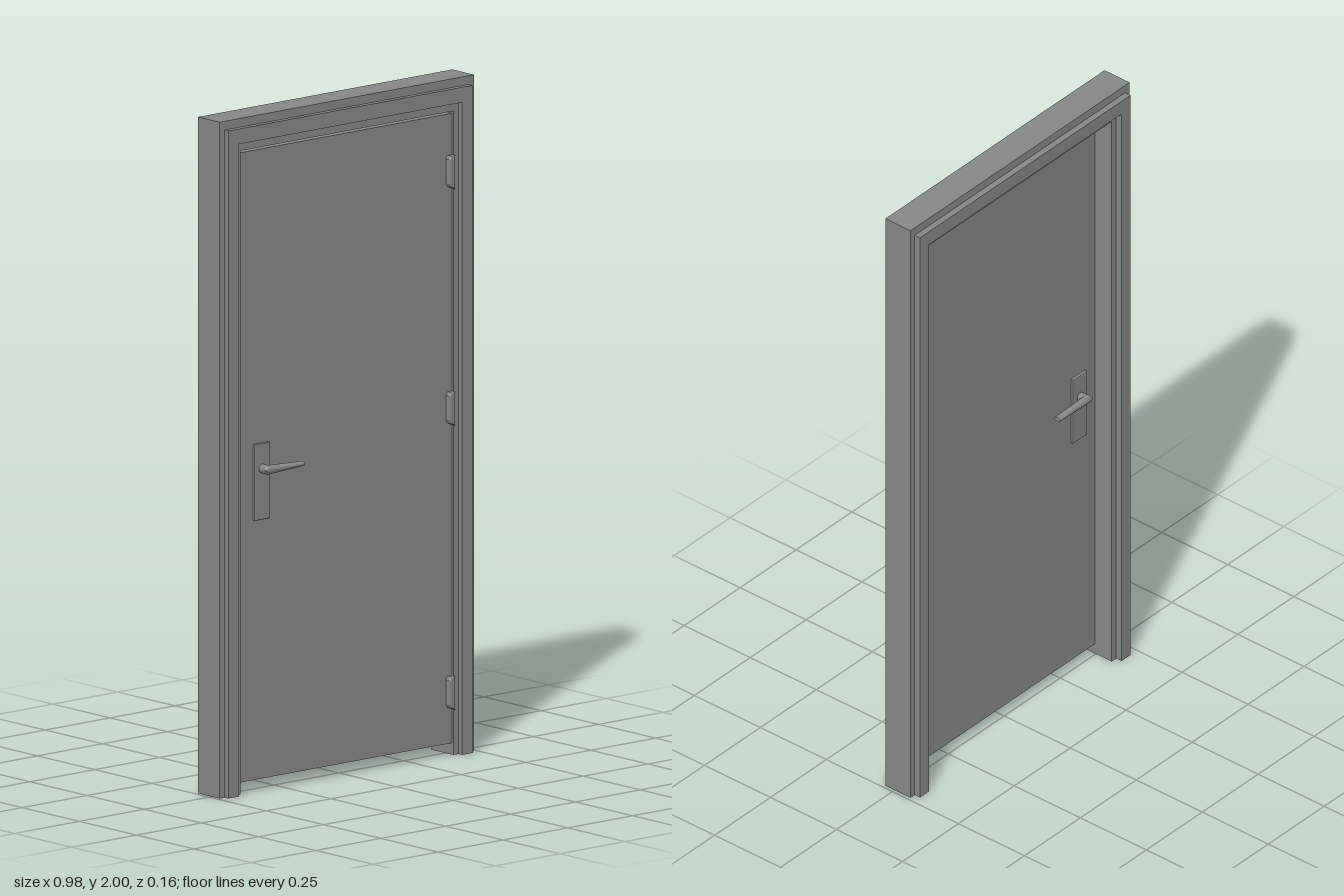
import * as THREE from 'three';

const material = new THREE.MeshStandardMaterial({ color: 0x888888 });
const frameMaterial = new THREE.MeshStandardMaterial({ color: 0x888888, side: THREE.DoubleSide });

// Outline extruded from z0 to z1, with an optional small bevel kept inside those limits
function slab(name, points, z0, z1, bevel = 0) {
  const shape = new THREE.Shape(points.map(([x, y]) => new THREE.Vector2(x, y)));
  const geometry = new THREE.ExtrudeGeometry(shape, {
    depth: z1 - z0 - 2 * bevel,
    bevelEnabled: bevel > 0,
    bevelSize: bevel,
    bevelThickness: bevel,
    bevelOffset: -bevel,
    bevelSegments: 3,
  });
  geometry.translate(0, 0, z0 + bevel);
  const mesh = new THREE.Mesh(geometry, material);
  mesh.name = name;
  return mesh;
}

const rectangle = (x0, x1, y0, y1) => [[x0, y0], [x1, y0], [x1, y1], [x0, y1]];

// Hollow frame: a stepped profile swept up one jamb, across the head and down the other
function frame() {
  const steps = [[0, 0], [0.019, 0.026], [0.06, 0.071], [0.08, 0.096]]; // side and head insets
  const profile = [
    [0, -0.06], [0, 0.035], [1, 0.035], [1, 0.051], [2, 0.051], [2, 0.035],
    [3, 0.035], [3, -0.06], [2, -0.06], [2, -0.08], [1, -0.08], [1, -0.06],
  ];
  const rings = profile.map(([step, z]) => {
    const x = 0.49 - steps[step][0];
    const y = 2 - steps[step][1];
    return [[-x, 0, z], [-x, y, z], [x, y, z], [x, 0, z]];
  });
  const positions = [];
  rings.forEach((a, i) => {
    const b = rings[(i + 1) % rings.length];
    for (let k = 0; k < 3; k++) {
      positions.push(...a[k], ...b[k], ...b[k + 1], ...a[k], ...b[k + 1], ...a[k + 1]);
    }
  });
  const geometry = new THREE.BufferGeometry();
  geometry.setAttribute('position', new THREE.Float32BufferAttribute(positions, 3));
  geometry.computeVertexNormals();
  const mesh = new THREE.Mesh(geometry, frameMaterial);
  mesh.name = 'frame';
  return mesh;
}

// Lever: an oval bar, round-ended at the spindle and tapering to the tip
function lever() {
  const geometry = new THREE.CylinderGeometry(1, 1, 1, 24, 20);
  const p = geometry.attributes.position;
  for (let i = 0; i < p.count; i++) {
    const t = (p.getY(i) + 0.5) ** 2;
    const taper = THREE.MathUtils.lerp(0.0145, 0.007, t);
    const round = Math.sqrt(1 - Math.max(0, 1 - t / 0.09) ** 2);
    const half = Math.max(0.003, taper * round);
    p.setXYZ(i, -0.346 + 0.147 * t, 0.954 - p.getX(i) * half, 0.034 + p.getZ(i) * 0.0115);
  }
  geometry.computeVertexNormals();
  const mesh = new THREE.Mesh(geometry, material);
  mesh.name = 'handleLever';
  return mesh;
}

// Handle set built outward along +z from a door face at z = 0
function handleSet(name) {
  const group = new THREE.Group();
  group.name = name;
  group.add(slab('handlePlate', rectangle(-0.36, -0.3, 0.803, 1.028), 0, 0.01, 0.002));

  const spindle = new THREE.Mesh(new THREE.CylinderGeometry(0.0135, 0.0135, 0.028, 24), material);
  spindle.name = 'handleSpindle';
  spindle.rotation.x = Math.PI / 2;
  spindle.position.set(-0.331, 0.954, 0.019);
  group.add(spindle, lever());
  return group;
}

export function createModel() {
  const model = new THREE.Group();
  model.name = 'door';
  const front = 0.031;
  const back = 0.002;

  model.add(frame());

  // Door leaf with a slim gap above and clearance below
  model.add(slab('doorLeaf', rectangle(-0.408, 0.408, 0.035, 1.897), back, front));

  // Handles on both faces, the rear one mirrored
  const frontHandle = handleSet('frontHandle');
  frontHandle.position.z = front;
  const backHandle = handleSet('backHandle');
  backHandle.position.z = back;
  backHandle.scale.z = -1;
  model.add(frontHandle, backHandle);

  // Three hinges with chamfered ends
  for (const y of [0.187, 1.028, 1.727]) {
    const hinge = slab('hinge', [
      [0.408, -0.052], [0.408, 0.048], [0.392, 0.048],
      [0.385, 0.038], [0.385, -0.034], [0.39, -0.044],
    ], front - 0.004, 0.048, 0.004);
    hinge.position.y = y;
    model.add(hinge);
  }

  return model;
}
